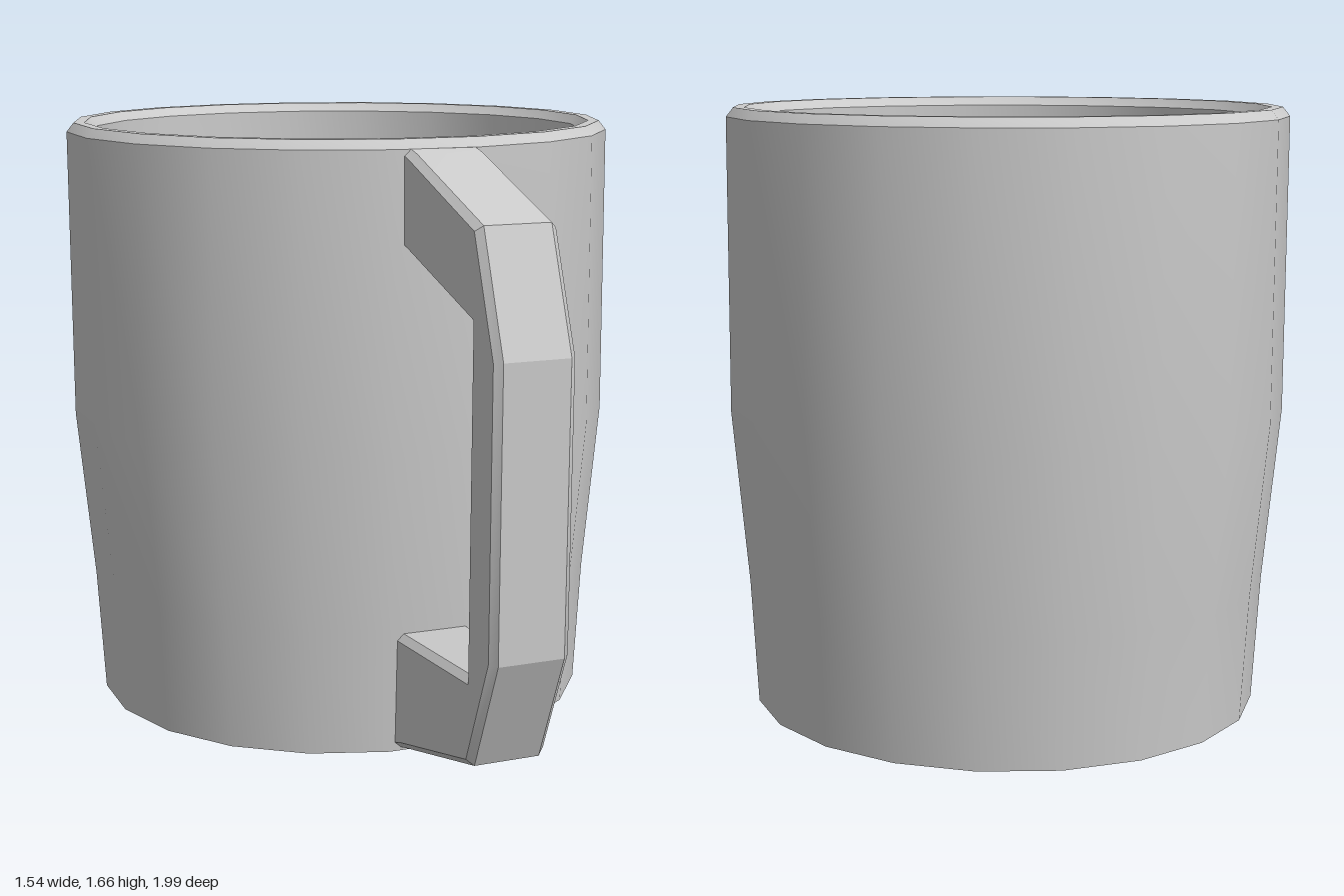
import * as THREE from 'three';
import { toCreasedNormals } from 'three/addons/utils/BufferGeometryUtils.js';

const SIDES = 20;
const AXIS_Z = -0.23; // cup axis, offset so cup and handle are centred together
const HANDLE_ANGLE = THREE.MathUtils.degToRad(-116);

const points = (list) => list.map(([x, y]) => new THREE.Vector2(x, y));

// Hollow cup: underside, outer wall, bevelled rim, inner wall, floor
function createCup(material) {
  const profile = points([
    [0, 0], [0.705, 0], [0.725, 0.35], [0.77, 0.83], [0.77, 1.635],
    [0.75, 1.66], [0.72, 1.66], [0.70, 1.635], [0.70, 0.84],
    [0.66, 0.36], [0.635, 0.13], [0.55, 0.07], [0, 0.07],
  ]);
  const geometry = toCreasedNormals(new THREE.LatheGeometry(profile, SIDES), 0.55);
  const cup = new THREE.Mesh(geometry, material);
  cup.name = 'cup';
  return cup;
}

// Angular handle: radial outline (distance from axis, height) with chamfered edges
function createHandle(material) {
  const outline = new THREE.Shape(points([
    [0.67, 0.002], [0.735, 0.02], [1.17, 0.13], [1.302, 0.43], [1.313, 1.18],
    [1.197, 1.49], [0.80, 1.625], [0.72, 1.645],
    [0.72, 1.385], [1.165, 1.25], [1.15, 0.362], [0.67, 0.335],
  ]));
  const width = 0.215;
  const bevel = 0.018;
  const geometry = new THREE.ExtrudeGeometry(outline, {
    depth: width - 2 * bevel,
    bevelEnabled: true,
    bevelThickness: bevel,
    bevelSize: bevel,
    bevelOffset: -bevel,
    bevelSegments: 1,
  });
  geometry.translate(0, 0, bevel - width / 2);
  const handle = new THREE.Mesh(toCreasedNormals(geometry, 0.3), material);
  handle.name = 'handle';
  handle.rotation.y = HANDLE_ANGLE;
  return handle;
}

export function createModel() {
  const material = new THREE.MeshStandardMaterial({ color: 0xcccccc });
  const mug = new THREE.Group();
  mug.name = 'mug';
  mug.add(createCup(material), createHandle(material));
  mug.position.z = AXIS_Z;

  const model = new THREE.Group();
  model.add(mug);
  return model;
}
